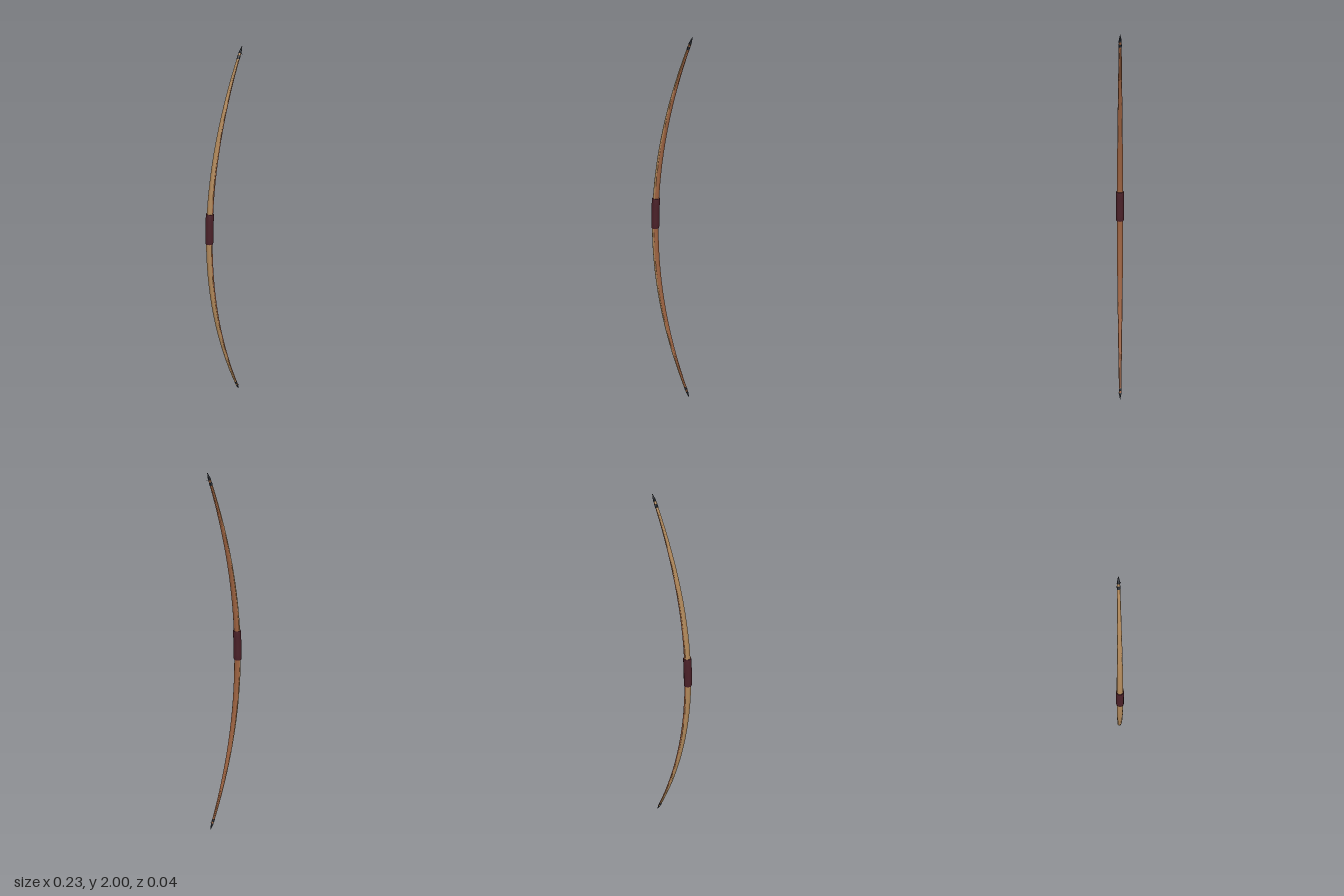
import * as THREE from 'three';
import { toCreasedNormals } from 'three/addons/utils/BufferGeometryUtils.js';

const mat = (name, color, side = THREE.FrontSide) =>
  new THREE.MeshStandardMaterial({ name, color, side });

// Centre line of the bow: a shallow parabola opening to +x
const centre = (y) => new THREE.Vector3(-0.094 + 0.204 * (y - 1) ** 2, y, 0);
const tangent = (y) => new THREE.Vector3(0.408 * (y - 1), 1, 0).normalize();
const limbRadius = (y) => 0.0175 - 0.0115 * Math.abs(y - 1) ** 1.5;

// Sweeps arcs of given radii along the bow; angle 0 is the outer side
function sweep(rings, from, to, sides) {
  const pos = [], index = [];
  for (const [y, r] of rings) {
    const c = centre(y), t = tangent(y);
    const out = new THREE.Vector3(-t.y, t.x, 0);
    for (let j = 0; j <= sides; j++) {
      const a = from + ((to - from) * j) / sides;
      const p = c.clone().addScaledVector(out, r * Math.cos(a));
      pos.push(p.x, p.y, r * Math.sin(a));
    }
  }
  const w = sides + 1;
  for (let i = 0; i < rings.length - 1; i++) {
    for (let j = 0; j < sides; j++) {
      const a = i * w + j;
      index.push(a, a + 1, a + w, a + 1, a + w + 1, a + w);
    }
  }
  const geo = new THREE.BufferGeometry();
  geo.setAttribute('position', new THREE.Float32BufferAttribute(pos, 3));
  geo.setIndex(index);
  return toCreasedNormals(geo, 0.8);
}

export function createModel() {
  const bow = new THREE.Group();
  bow.name = 'longbow';
  const sapwood = mat('pale sapwood', 0xb0885a);
  const heartwood = mat('red heartwood', 0x9c6240);
  const leather = mat('wine leather', 0x4a2028);
  const horn = mat('dark horn', 0x2b2f36, THREE.DoubleSide);

  const add = (name, geo, material) => {
    const mesh = new THREE.Mesh(geo, material);
    mesh.name = name;
    bow.add(mesh);
    return mesh;
  };

  // Stave: pale outer half and red inner half
  const stave = [];
  for (let i = 0; i <= 32; i++) {
    const y = 0.03 + (1.94 * i) / 32;
    stave.push([y, limbRadius(y)]);
  }
  const h = Math.PI / 2;
  add('staveBack', sweep(stave, -h, h, 8), sapwood);
  add('staveBelly', sweep(stave, h, 3 * h, 8), heartwood);

  // Leather grip, set above the middle
  const grip = [[1.003, 0.012], [1.003, 0.0205], [1.01, 0.0215]];
  for (let i = 1; i <= 6; i++) grip.push([1.01 + 0.025 * i, 0.0215]);
  grip.push([1.17, 0.0205], [1.17, 0.012]);
  add('grip', sweep(grip, 0, 4 * h, 14), leather);

  // Horn nocks with a string groove and a small side barb
  const nock = [[0.062, 0.005], [0.06, 0.0075], [0.046, 0.0078], [0.042, 0.0055],
    [0.036, 0.0055], [0.032, 0.0075], [0.018, 0.005], [0, 0.001]];
  for (const top of [true, false]) {
    const rings = top
      ? nock.map(([d, r]) => [2 - d, r])
      : nock.map(([d, r]) => [d, r]).reverse();
    const end = top ? 'top' : 'bottom';
    add(end + 'Nock', sweep(rings, 0, 4 * h, 8), horn);
    const y = top ? 1.965 : 0.035;
    const barb = add(end + 'Barb', new THREE.ConeGeometry(0.0035, 0.016, 6), horn);
    barb.position.copy(centre(y)).add(new THREE.Vector3(0.005, 0, 0.007));
    barb.quaternion.setFromUnitVectors(new THREE.Vector3(0, 1, 0),
      new THREE.Vector3(0.4, top ? -0.5 : 0.5, 0.8).normalize());
  }
  return bow;
}
